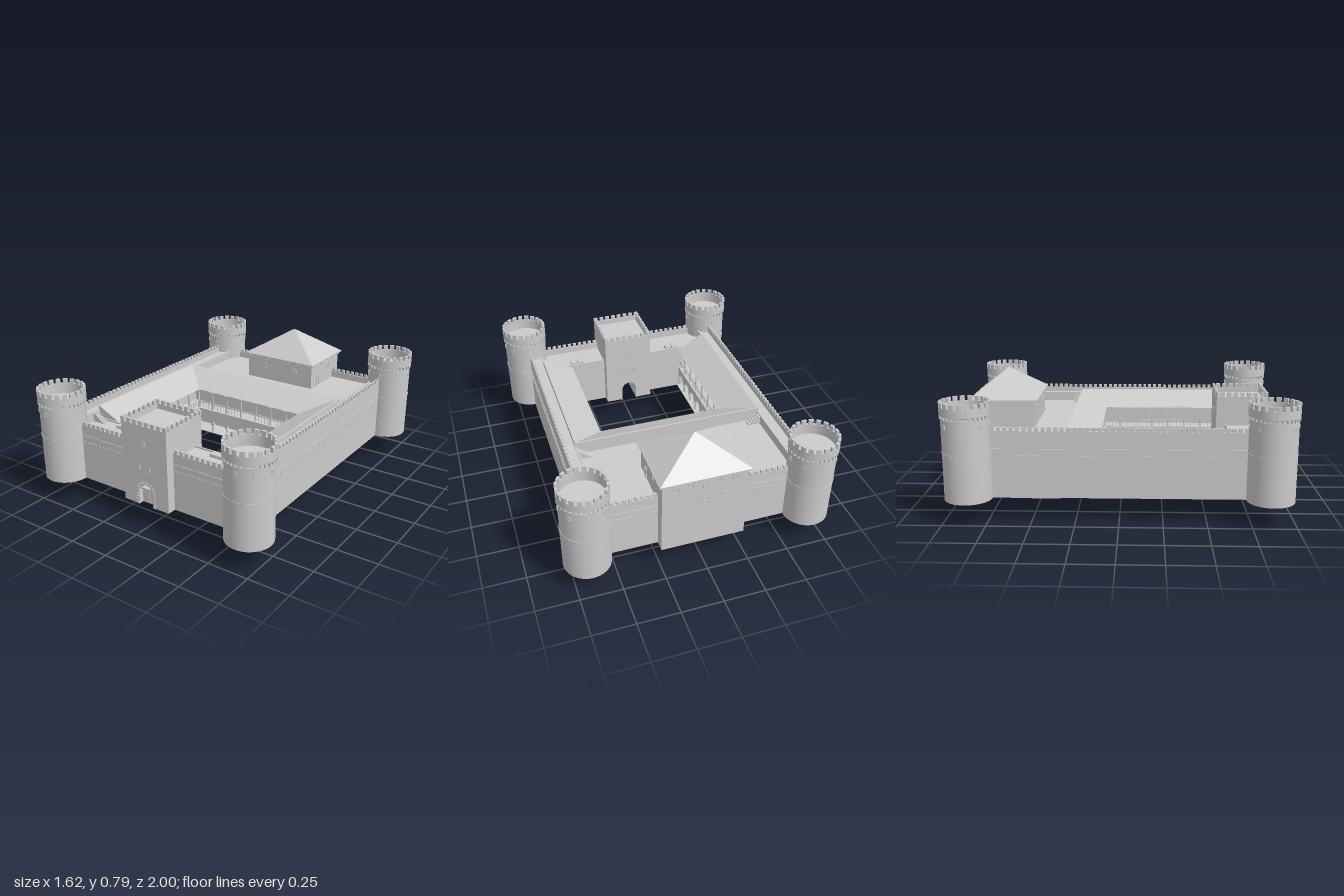
import * as THREE from 'three';
import { mergeGeometries } from 'three/addons/utils/BufferGeometryUtils.js';

const BASE = 0.14;
const mat = new THREE.MeshStandardMaterial({ color: 0xcccccc, side: THREE.DoubleSide });
const flat = new THREE.MeshStandardMaterial({ color: 0xcccccc, side: THREE.DoubleSide, flatShading: true });

// Box given by its limits on each axis
function box(x0, x1, y0, y1, z0, z1) {
  return new THREE.BoxGeometry(x1 - x0, y1 - y0, z1 - z0)
    .translate((x0 + x1) / 2, (y0 + y1) / 2, (z0 + z1) / 2);
}

function part(parent, name, geos, material = mat) {
  const list = [].concat(geos).map(g => (g.index ? g.toNonIndexed() : g));
  const mesh = new THREE.Mesh(list.length > 1 ? mergeGeometries(list) : list[0], material);
  mesh.name = name;
  parent.add(mesh);
  return mesh;
}

// Round-headed outline standing on y = y0
function archPath(path, x, y0, w, h) {
  const r = w / 2;
  path.moveTo(x - r, y0);
  path.lineTo(x - r, y0 + h - r);
  path.absarc(x, y0 + h - r, r, Math.PI, 0, true);
  path.lineTo(x + r, y0);
  path.closePath();
  return path;
}

const extrude = (shape, depth) => new THREE.ExtrudeGeometry(shape, { depth, bevelEnabled: false, curveSegments: 8 });

// Raised frame of a small arched window, facing +z before turning by angle
function windowFrame(x, y, z, w, h, angle = 0) {
  const s = archPath(new THREE.Shape(), 0, 0, w, h);
  s.holes.push(archPath(new THREE.Path(), 0, 0.004, w * 0.65, h - 0.008));
  return extrude(s, 0.005).translate(0, 0, -0.001).rotateY(angle).translate(x, y, z);
}

// Row of blocks along x or z, evenly spaced between a and b
function row(axis, a, b, pitch, fill, y0, y1, c0, c1) {
  const n = Math.max(2, Math.round((b - a) / pitch)), step = (b - a) / n, out = [];
  for (let i = 0; i < n; i++) {
    const m = a + (i + 0.5) * step, h = step * fill / 2;
    out.push(axis === 'x' ? box(m - h, m + h, y0, y1, c0, c1) : box(c0, c1, y0, y1, m - h, m + h));
  }
  return out;
}

function roundTower(x, z) {
  const g = new THREE.Group();
  g.name = 'cornerTower';
  g.position.set(x, 0, z);
  part(g, 'towerShaft', new THREE.CylinderGeometry(0.137, 0.137, 0.475, 40, 1).translate(0, BASE + 0.2375, 0));
  part(g, 'stringCourse', new THREE.CylinderGeometry(0.1395, 0.1395, 0.008, 40).translate(0, 0.416, 0));
  const ring = [[0.137, 0.628], [0.143, 0.632], [0.143, 0.678], [0.128, 0.678], [0.128, 0.615]];
  for (let i = 0; i < 4; i++) // one hard-edged band per profile segment
    part(g, 'parapet', new THREE.LatheGeometry(ring.slice(i, i + 2).map(p => new THREE.Vector2(...p)), 40));
  const merlons = [], corbels = [], windows = [];
  for (let i = 0; i < 20; i++) {
    const a = i / 20 * Math.PI * 2, s = new THREE.Shape(), d = 0.1;
    s.absarc(0, 0, 0.143, a - d, a + d, false);
    s.absarc(0, 0, 0.128, a + d, a - d, true);
    merlons.push(new THREE.ExtrudeGeometry(s, { depth: 0.03, bevelEnabled: false, curveSegments: 3 })
      .rotateX(-Math.PI / 2).translate(0, 0.676, 0));
  }
  for (let i = 0; i < 32; i++)
    corbels.push(box(-0.006, 0.006, 0.612, 0.634, 0.13, 0.143).rotateY(i / 32 * Math.PI * 2));
  for (let i = 0; i < 8; i++)
    windows.push(windowFrame(0, 0.56, 0.136, 0.022, 0.028).rotateY(i / 8 * Math.PI * 2));
  part(g, 'merlons', merlons);
  part(g, 'corbels', corbels);
  part(g, 'windows', windows);
  return g;
}

function gateTower() {
  const g = new THREE.Group();
  g.name = 'gateTower';
  const s = new THREE.Shape();
  s.moveTo(-0.16, BASE);
  s.lineTo(-0.16, 0.6);
  s.lineTo(0.16, 0.6);
  s.lineTo(0.16, BASE);
  s.lineTo(0.05, BASE);
  s.lineTo(0.05, 0.225);
  s.absarc(0, 0.225, 0.05, 0, Math.PI, false);
  s.lineTo(-0.05, BASE);
  part(g, 'gateBody', extrude(s, 0.315).translate(0, 0, 0.585));
  // Parapet and merlons round the roof
  part(g, 'parapet', [box(-0.16, 0.16, 0.6, 0.63, 0.885, 0.9), box(-0.16, 0.16, 0.6, 0.63, 0.585, 0.6),
    box(-0.16, -0.145, 0.6, 0.63, 0.6, 0.885), box(0.145, 0.16, 0.6, 0.63, 0.6, 0.885)]);
  part(g, 'merlons', [...row('x', -0.17, 0.17, 0.042, 0.6, 0.63, 0.656, 0.885, 0.9),
    ...row('x', -0.17, 0.17, 0.042, 0.6, 0.63, 0.656, 0.585, 0.6),
    ...row('z', 0.6, 0.885, 0.042, 0.6, 0.63, 0.656, -0.16, -0.145),
    ...row('z', 0.6, 0.885, 0.042, 0.6, 0.63, 0.656, 0.145, 0.16)]);
  // Doors with a lintel, and the stones framing each arch
  part(g, 'gateDoors', [box(-0.05, -0.002, BASE, 0.225, 0.86, 0.87), box(0.002, 0.05, BASE, 0.225, 0.86, 0.87),
    box(-0.05, 0.05, 0.225, 0.235, 0.86, 0.88)]);
  const stones = [];
  for (const z of [0.9, 0.585]) {
    for (let i = 0; i <= 10; i++)
      stones.push(box(-0.007, 0.007, 0.05, 0.067, -0.004, 0.004)
        .rotateZ((i / 10 - 0.5) * Math.PI).translate(0, 0.225, z));
    for (let i = 0; i < 5; i++) for (const k of [-1, 1])
      stones.push(box(-0.009, 0.009, 0, 0.014, -0.004, 0.004)
        .translate(k * (i % 2 ? 0.063 : 0.059), BASE + i * 0.017, z));
  }
  part(g, 'archStones', stones);
  const wins = [];
  for (const [z, a] of [[0.9, 0], [0.585, Math.PI]])
    wins.push(windowFrame(0, 0.505, z, 0.024, 0.032, a),
      windowFrame(-0.037, 0.36, z, 0.013, 0.026, a), windowFrame(0.037, 0.36, z, 0.013, 0.026, a));
  part(g, 'windows', wins);
  return g;
}

function keep() {
  const g = new THREE.Group();
  g.name = 'keep';
  part(g, 'keepBody', box(-0.25, 0.25, BASE, 0.62, -0.91, -0.53));
  // Four-sided roof with thin eaves and rafter ends
  const roof = new THREE.ConeGeometry(Math.SQRT1_2, 0.165, 4, 1).rotateY(Math.PI / 4);
  part(g, 'keepRoof', roof.scale(0.535, 1, 0.42).translate(0, 0.703, -0.72), flat);
  part(g, 'eaves', box(-0.268, 0.268, 0.614, 0.622, -0.93, -0.51));
  part(g, 'rafters', [...row('x', -0.27, 0.27, 0.08, 0.07, 0.606, 0.616, -0.933, -0.507),
    ...row('z', -0.93, -0.51, 0.08, 0.07, 0.606, 0.616, -0.27, 0.27)]);
  const wins = [];
  for (let i = -2; i <= 2; i++) wins.push(windowFrame(i * 0.085, 0.545, -0.91, 0.032, 0.05, Math.PI));
  for (const i of [-1, 0, 1]) wins.push(windowFrame(i * 0.12, 0.45, -0.91, 0.032, 0.03, Math.PI));
  for (const k of [-1, 1]) {
    wins.push(windowFrame(k * 0.12, 0.53, -0.53, 0.028, 0.04));
    wins.push(windowFrame(k * 0.25, 0.45, -0.62, 0.04, 0.075, k * Math.PI / 2));
    wins.push(windowFrame(k * 0.25, 0.54, -0.76, 0.028, 0.04, k * Math.PI / 2));
  }
  part(g, 'windows', wins);
  return g;
}

// Two-storey gallery front of the given length, running along x and facing +z
function arcade(length, bays) {
  const g = new THREE.Group(), w = length / bays, x0 = -length / 2;
  g.name = 'arcade';
  const s = new THREE.Shape();
  s.moveTo(x0, 0.2); s.lineTo(x0, 0.295); s.lineTo(-x0, 0.295); s.lineTo(-x0, 0.2);
  for (let i = bays - 1; i >= 0; i--) {
    const c = x0 + (i + 0.5) * w, r = w / 2 - 0.008;
    s.lineTo(c + r, 0.2);
    s.absarc(c, 0.2, r, 0, Math.PI, false);
  }
  part(g, 'arches', extrude(s, 0.018).translate(0, 0, -0.009));
  const columns = [], posts = [];
  for (let i = 0; i <= bays; i++) {
    const x = x0 + i * w;
    columns.push(new THREE.CylinderGeometry(0.007, 0.007, 0.06, 10).translate(x, 0.17, 0),
      box(x - 0.01, x + 0.01, 0.194, 0.204, -0.01, 0.01));
    posts.push(box(x - 0.005, x + 0.005, 0.3, 0.445, -0.005, 0.005));
    for (const k of [-1, 1])
      posts.push(box(-0.003, 0.003, 0, 0.035, -0.003, 0.003).rotateZ(-k * 0.8).translate(x, 0.41, 0));
  }
  part(g, 'columns', columns);
  part(g, 'galleryPosts', posts);
  part(g, 'galleryRails', [box(x0, -x0, 0.345, 0.352, -0.004, 0.004), box(x0, -x0, 0.435, 0.447, -0.006, 0.006),
    ...row('x', x0, -x0, 0.024, 0.12, 0.3, 0.35, -0.002, 0.002)]);
  return g;
}

// Lean-to roofs: U-shaped strip from ridge to eave with mitred corners and end gables
function courtRoof() {
  const ridge = [[-0.575, 0.64], [-0.575, -0.295], [0.575, -0.295], [0.575, 0.64]];
  const eave = [[-0.385, 0.64], [-0.385, -0.12], [0.385, -0.12], [0.385, 0.64]];
  const R = i => [ridge[i][0], 0.53, ridge[i][1]], E = i => [eave[i][0], 0.44, eave[i][1]];
  const pos = [];
  for (let i = 0; i < 3; i++) pos.push(...R(i), ...E(i), ...E(i + 1), ...R(i), ...E(i + 1), ...R(i + 1));
  for (const i of [0, 3]) pos.push(...R(i), ...E(i), ridge[i][0], 0.44, 0.64);
  const geo = new THREE.BufferGeometry();
  geo.setAttribute('position', new THREE.Float32BufferAttribute(pos, 3));
  geo.computeVertexNormals();
  return geo;
}

export function createModel() {
  const root = new THREE.Group();
  root.name = 'castle';
  for (const x of [-0.665, 0.665]) for (const z of [-0.855, 0.855]) root.add(roundTower(x, z));
  root.add(gateTower(), keep());

  // Main wings round the open courtyard
  part(root, 'backWing', box(-0.65, 0.65, BASE, 0.45, -0.835, -0.24));
  part(root, 'ridgeWall', box(-0.58, 0.58, 0.44, 0.53, -0.305, -0.295));
  part(root, 'courtRoof', courtRoof(), flat);
  for (const k of [-1, 1]) {
    const side = (a, b, ...r) => (k > 0 ? box(a, b, ...r) : box(-b, -a, ...r));
    part(root, 'sideWing', side(0.51, 0.65, BASE, 0.45, -0.24, 0.835));
    part(root, 'frontWing', side(0.16, 0.65, BASE, 0.45, 0.64, 0.835));
    part(root, 'sideWall', side(0.575, 0.66, BASE, 0.5, -0.845, 0.845));
    part(root, 'sideParapet', side(0.646, 0.66, 0.5, 0.53, -0.76, 0.76));
    part(root, 'walkKerb', [side(0.575, 0.585, 0.5, 0.53, -0.3, 0.64), side(0.575, 0.585, 0.5, 0.508, -0.845, 0.75)]);
    part(root, 'sideMerlons', row('z', -0.73, 0.73, 0.036, 0.6, 0.53, 0.552, k * 0.653 - 0.007, k * 0.653 + 0.007));
    part(root, 'sideCorbels', row('z', -0.73, 0.73, 0.03, 0.5, 0.38, 0.389, k * 0.66 - 0.004, k * 0.66 + 0.004));
    part(root, 'sideStringCourse', side(0.655, 0.664, 0.422, 0.428, -0.76, 0.76));
    part(root, 'galleryFloor', [side(0.39, 0.52, 0.293, 0.303, -0.24, 0.64), side(0.385, 0.52, BASE, 0.145, -0.24, 0.64)]);
    // Steps up to the wall walks, and roof hatches
    const steps = [];
    for (const z of [-0.34, 0.68]) for (let i = 0; i < 5; i++)
      steps.push(side(0.5 + i * 0.015, 0.576, 0.45 + i * 0.01, 0.46 + i * 0.01, z - 0.018, z + 0.018));
    part(root, 'steps', steps);
    part(root, 'roofHatch', [side(0.3, 0.342, 0.45, 0.468, 0.655, 0.7), side(0.348, 0.39, 0.45, 0.468, 0.655, 0.7)]);
    // Front and back curtain walls, same on both ends
    const z0 = k * 0.838;
    const runs = k > 0 ? [[-0.56, -0.16], [0.16, 0.56]] : [[-0.56, -0.25], [0.25, 0.56]];
    for (const [a, b] of runs) {
      part(root, 'curtainWall', box(a - 0.04, b + 0.04, BASE, 0.49, z0 - 0.007, z0 + 0.007));
      part(root, 'curtainMerlons', row('x', a, b, 0.036, 0.6, 0.49, 0.512, z0 - 0.007, z0 + 0.007));
      part(root, 'curtainCorbels', row('x', a, b, 0.03, 0.5, 0.38, 0.389, k * 0.845 - 0.004, k * 0.845 + 0.004));
      part(root, 'curtainStringCourse', box(a, b, 0.422, 0.428, k * 0.845 - 0.004, k * 0.845 + 0.004));
    }
    const gallery = arcade(0.78, 7);
    gallery.rotation.y = -k * Math.PI / 2;
    gallery.position.set(k * 0.405, 0, 0.25);
    root.add(gallery);
  }
  part(root, 'frontKerb', [box(-0.57, -0.16, 0.45, 0.46, 0.64, 0.648), box(0.16, 0.57, 0.45, 0.46, 0.64, 0.648)]);
  part(root, 'backGalleryFloor', [box(-0.51, 0.51, 0.293, 0.303, -0.25, -0.125), box(-0.51, 0.51, BASE, 0.145, -0.25, -0.12)]);
  const backGallery = arcade(0.81, 7);
  backGallery.position.z = -0.14;
  root.add(backGallery);

  // Cellar below ground with its sloping stair shaft
  part(root, 'cellar', box(-0.272, 0.255, 0, BASE, -0.69, -0.375));
  const ramp = new THREE.Shape();
  [[0.25, 0], [0.31, 0], [0.49, 0.14], [0.32, 0.14], [0.315, 0.1], [0.25, 0.055]]
    .forEach(([x, y], i) => (i ? ramp.lineTo(x, y) : ramp.moveTo(x, y)));
  part(root, 'cellarStair', extrude(ramp, 0.075).translate(0, 0, -0.69));
  return root;
}
